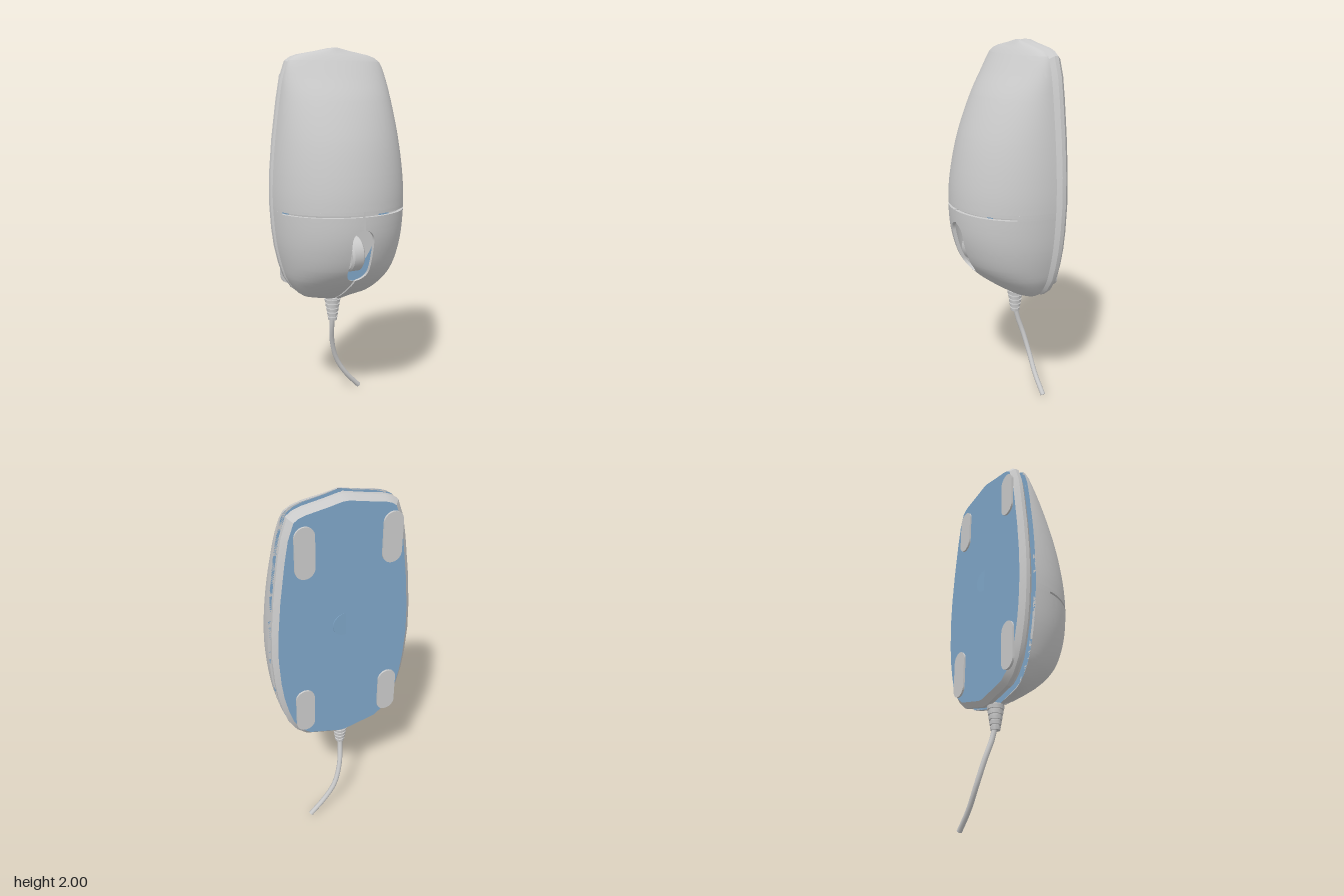
import * as THREE from 'three';
import { toCreasedNormals } from 'three/addons/utils/BufferGeometryUtils.js';

const FLOOR = -0.14; // z of the shell's flat underside
const CX = -0.018;   // centre line of the slit, wheel and cable

// half width, y, crown height (z)
const PROFILE = [
  [0.02, 0.61, -0.125], [0.12, 0.635, -0.09], [0.2, 0.655, -0.05], [0.255, 0.7, 0.02],
  [0.3, 0.77, 0.11], [0.327, 0.85, 0.175], [0.35, 0.95, 0.212], [0.363, 1.05, 0.23],
  [0.372, 1.2, 0.232], [0.367, 1.35, 0.212], [0.35, 1.53, 0.165], [0.322, 1.73, 0.075],
  [0.302, 1.84, 0], [0.27, 1.93, -0.065], [0.238, 1.952, -0.083], [0.2, 1.965, -0.095],
  [0.09, 1.985, -0.115], [0.02, 2.0, -0.125],
].map(p => new THREE.Vector3(...p));
const SAMPLES = new THREE.CatmullRomCurve3(PROFILE, false, 'centripetal').getPoints(300);

function sizeAt(y) {
  let i = 1;
  while (i < SAMPLES.length - 1 && SAMPLES[i].y < y) i++;
  const a = SAMPLES[i - 1], b = SAMPLES[i];
  const t = THREE.MathUtils.clamp((y - a.y) / (b.y - a.y), 0, 1);
  return { w: a.x + (b.x - a.x) * t, h: a.z + (b.z - a.z) * t - FLOOR };
}

// heights between a and b, with the profile's own stations added
function rows(a, b, n, extra = []) {
  const ys = [...extra, ...PROFILE.map(p => p.y)].filter(y => y > a + 1e-4 && y < b - 1e-4);
  for (let i = 0; i <= n; i++) ys.push(a + (b - a) * i / n);
  return [...new Set(ys.map(y => +y.toFixed(4)))].sort((p, q) => p - q);
}

// thick curved panel between the edges xl(y) and xr(y), following the domed section
function panel(ys, xl, xr, n = 32, wall = 0.02) {
  const pos = [], idx = [], ring = 2 * (n + 1);
  const angle = (x, w) => Math.asin(THREE.MathUtils.clamp(x / w, -1, 1));
  for (const y of ys) {
    const { w, h } = sizeAt(y);
    for (const inner of [false, true]) {
      const W = inner ? Math.max(w - wall, w * 0.5) : w;
      const H = inner ? Math.max(h - wall, h * 0.5) : h;
      const a0 = angle(xl(y), W), a1 = angle(xr(y), W);
      for (let j = 0; j <= n; j++) {
        const a = a0 + (a1 - a0) * (inner ? n - j : j) / n;
        pos.push(W * Math.sin(a), y, FLOOR + H * Math.pow(Math.max(Math.cos(a), 0), 0.93));
      }
    }
  }
  for (let i = 0; i < ys.length - 1; i++) {
    for (let j = 0; j < ring; j++) {
      const a = i * ring + j, b = i * ring + (j + 1) % ring;
      idx.push(a, b, a + ring, b, b + ring, a + ring);
    }
  }
  // end caps
  const top = (ys.length - 1) * ring;
  for (let j = 0; j < n; j++) {
    const k = ring - 1 - j;
    idx.push(j, k, j + 1, j + 1, k, k - 1);
    idx.push(top + j, top + j + 1, top + k, top + j + 1, top + k - 1, top + k);
  }
  const g = new THREE.BufferGeometry();
  g.setAttribute('position', new THREE.Float32BufferAttribute(pos, 3));
  g.setIndex(idx);
  return toCreasedNormals(g, 0.6);
}

function outline(scale = 1) {
  const mid = 1.305;
  const side = PROFILE.map(p => new THREE.Vector2(p.x * scale, mid + (p.y - mid) * scale));
  return new THREE.Shape([...side, ...side.map(p => new THREE.Vector2(-p.x, p.y)).reverse()]);
}

function capsule(w, h) {
  const r = w / 2, c = h / 2 - r, s = new THREE.Shape();
  s.absarc(0, c, r, 0, Math.PI);
  s.absarc(0, -c, r, Math.PI, Math.PI * 2);
  return s;
}

export function createModel() {
  const model = new THREE.Group();
  const grey = new THREE.MeshStandardMaterial({ color: 0xcccccc });
  const blue = new THREE.MeshStandardMaterial({ color: 0x80a7c9, side: THREE.DoubleSide });
  const add = (name, geometry, x = 0, y = 0, z = 0, material = grey) => {
    const m = new THREE.Mesh(geometry, material);
    m.name = name;
    m.position.set(x, y, z);
    model.add(m);
    return m;
  };
  const far = () => 9, farNeg = () => -9;

  // palm shell, with the slit running a little way into it
  add('palmShell', panel(rows(1.172, 2, 24), farNeg, far, 48));
  add('palmShellRight', panel([1.156, 1.172], farNeg, () => CX - 0.006));
  add('palmShellLeft', panel([1.156, 1.172], () => CX + 0.006, far));

  // joints at both ends of the cross gap
  add('jointRight', panel([1.144, 1.156], farNeg, () => -0.36, 8));
  add('jointLeft', panel([1.144, 1.156], () => 0.32, far, 8));

  // two buttons, cut away around the wheel
  const R = 0.062, LOW = 0.842, HIGH = 1.013;
  const gap = y => {
    const d = y < LOW ? LOW - y : y > HIGH ? y - HIGH : 0;
    return Math.max(0.006, d < R ? Math.sqrt(R * R - d * d) : 0);
  };
  const arcRows = [];
  for (let i = 0; i <= 8; i++) {
    const s = R * Math.sin(i / 8 * Math.PI / 2);
    arcRows.push(LOW - s, HIGH + s);
  }
  const buttonRows = rows(0.61, 1.144, 16, arcRows);
  add('rightButton', panel(buttonRows, farNeg, y => CX - gap(y)));
  add('leftButton', panel(buttonRows, y => CX + gap(y), far));

  // flat underside of the shell and the spacer below it
  add('shellFloor', new THREE.ShapeGeometry(outline()), 0, 0, FLOOR, blue);
  add('spacer', new THREE.ExtrudeGeometry(outline(0.78), { depth: 0.02, bevelEnabled: false }), 0, 0, -0.158);

  // bevelled base plate with a coloured sole
  const base = new THREE.ExtrudeGeometry(outline(), {
    depth: 0.022, bevelThickness: 0.0265, bevelSize: 0.025, bevelOffset: -0.025, bevelSegments: 1,
  });
  add('basePlate', toCreasedNormals(base, 0.4), 0, 0, -0.1985, [blue, grey]);

  // glide feet
  const foot = new THREE.ExtrudeGeometry(capsule(0.1, 0.26), { depth: 0.012, bevelEnabled: false, curveSegments: 10 });
  for (const [x, y] of [[-0.237, 1.76], [0.203, 1.76], [-0.25, 0.845], [0.215, 0.845]]) {
    add('glideFoot', foot, x, y, -0.235);
  }

  // slightly tilted disc in the sole
  const disc = add('soleDisc', new THREE.CylinderGeometry(0.062, 0.062, 0.01, 24), 0, 1.33, -0.2205, blue);
  disc.rotation.set(Math.PI / 2, 0, -0.06);

  // scroll wheel and axle
  const wheelProfile = [[0.05, -0.037], [0.085, -0.037], [0.095, -0.027], [0.095, 0.027], [0.085, 0.037], [0.05, 0.037], [0.05, -0.037]];
  const wheel = new THREE.LatheGeometry(wheelProfile.map(p => new THREE.Vector2(...p)), 32);
  add('scrollWheel', toCreasedNormals(wheel, 0.5), CX, 0.925, 0.085).rotation.z = Math.PI / 2;
  add('wheelHub', new THREE.CylinderGeometry(0.052, 0.052, 0.05, 20), CX, 0.925, 0.085).rotation.z = Math.PI / 2;
  add('wheelAxle', new THREE.CylinderGeometry(0.016, 0.016, 0.15, 12), CX, 0.925, 0.085).rotation.z = Math.PI / 2;

  // ribbed strain relief
  const ribs = [[0, 0.485]];
  for (let i = 0; i < 5; i++) {
    const r = 0.025 + i * 0.0045, y = 0.485 + i * 0.027;
    ribs.push([r, y], [r + 0.003, y + 0.018], [r - 0.003, y + 0.019], [r - 0.003, y + 0.027]);
  }
  ribs.push([0, 0.62]);
  const relief = new THREE.LatheGeometry(ribs.map(p => new THREE.Vector2(...p)), 16);
  add('strainRelief', toCreasedNormals(relief, 0.5), CX, 0, -0.145);

  // cable with a closed end
  const path = new THREE.CatmullRomCurve3([
    [CX, 0.52, -0.145], [-0.015, 0.44, -0.16], [0.0, 0.34, -0.19], [0.04, 0.21, -0.212],
    [0.105, 0.105, -0.212], [0.19, 0.012, -0.212],
  ].map(p => new THREE.Vector3(...p)));
  add('cable', new THREE.TubeGeometry(path, 12, 0.014, 10));
  const tip = add('cableEnd', new THREE.CircleGeometry(0.014, 10));
  tip.position.copy(path.getPoint(1));
  tip.lookAt(path.getPoint(1).add(path.getTangent(1)));

  // small peak at the rear edge
  const peak = add('rearPeak', new THREE.ConeGeometry(0.06, 0.03, 4), CX, 1.984, -0.132);
  peak.scale.z = 0.4;

  return model;
}
